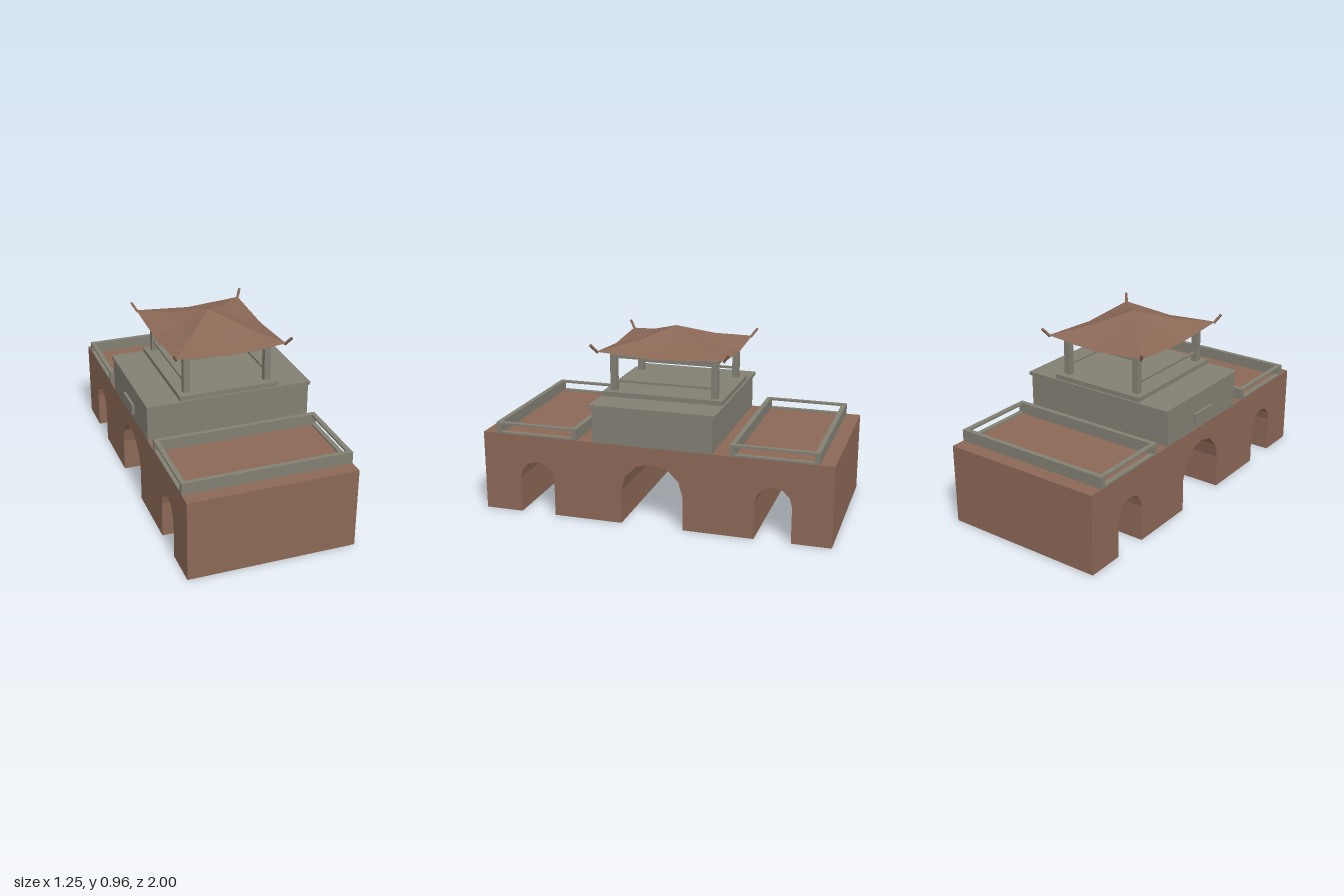
import * as THREE from 'three';

const brick = new THREE.MeshStandardMaterial({ color: 0x8b6856 });
brick.name = 'brown brick';
const stone = new THREE.MeshStandardMaterial({ color: 0x827f73 });
stone.name = 'grey stone';
const tile = new THREE.MeshStandardMaterial({ color: 0x8b6856, side: THREE.DoubleSide });
tile.name = 'brown roof';

// Box given by its centre x and z, bottom and top heights, and widths
function block(parent, name, mat, x, z, y0, y1, w, d) {
  const m = new THREE.Mesh(new THREE.BoxGeometry(w, y1 - y0, d), mat);
  m.position.set(x, (y0 + y1) / 2, z);
  m.name = name;
  parent.add(m);
  return m;
}

// Gate base pierced by three faceted arched passages
function gateBase() {
  const L = 0.9285, W = 0.875;
  const s = new THREE.Shape();
  s.moveTo(-L, 0);
  for (const [c, r, spring] of [[-0.63, 0.095, 0.19], [0, 0.165, 0.175], [0.63, 0.095, 0.19]]) {
    s.lineTo(c - r, 0);
    for (let i = 0; i <= 6; i++) {
      const a = Math.PI * (1 - i / 6);
      s.lineTo(c + r * Math.cos(a), spring + r * Math.sin(a));
    }
    s.lineTo(c + r, 0);
  }
  s.lineTo(L, 0);
  s.lineTo(L, 0.425);
  s.lineTo(-L, 0.425);
  const g = new THREE.ExtrudeGeometry(s, { depth: W, bevelEnabled: false });
  g.translate(0, 0, -W / 2).rotateY(Math.PI / 2);
  const m = new THREE.Mesh(g, brick);
  m.name = 'gateBase';
  return m;
}

// Terrace balustrade: solid ends, open rails along the passage sides
function balustrade(side) {
  const g = new THREE.Group();
  g.name = 'balustrade';
  const t = 0.025, hx = 0.4375 - t / 2, z0 = 0.405, z1 = 0.853, y = 0.425;
  const mid = (z0 + z1) / 2, len = z1 - z0 - 2 * t;
  for (const z of [z0 + t / 2, z1 - t / 2])
    block(g, 'endParapet', stone, 0, side * z, y, 0.485, 0.875, t);
  for (const x of [-hx, hx]) {
    block(g, 'topRail', stone, x, side * mid, 0.474, 0.485, t, len);
    block(g, 'bottomRail', stone, x, side * mid, y, 0.434, t, len);
  }
  return g;
}

// Curved roof: apex, half-way ring and eave ring, with lifted corners
function roofShell() {
  const HX = 0.294, HZ = 0.34, apex = [0, 0.965, 0];
  const dirs = [[1, 1], [1, 0], [1, -1], [0, -1], [-1, -1], [-1, 0], [-1, 1], [0, 1]];
  const ring = (k, corner, middle) => dirs.map(([x, z]) => [x * HX * k, x && z ? corner : middle, z * HZ * k]);
  const inner = ring(0.5, 0.903, 0.893), outer = ring(1, 0.866, 0.845);
  const p = [];
  for (let i = 0; i < 8; i++) {
    const j = (i + 1) % 8;
    p.push(...apex, ...inner[i], ...inner[j]);
    // keep the diagonal on the corner side
    if (i % 2 === 0) p.push(...inner[i], ...outer[i], ...outer[j], ...inner[i], ...outer[j], ...inner[j]);
    else p.push(...inner[i], ...outer[i], ...inner[j], ...outer[i], ...outer[j], ...inner[j]);
  }
  const g = new THREE.BufferGeometry();
  g.setAttribute('position', new THREE.Float32BufferAttribute(p, 3));
  g.computeVertexNormals();
  const m = new THREE.Mesh(g, tile);
  m.name = 'roof';
  return m;
}

// Slim upturned finial at a roof corner
function finial(sx, sz) {
  const a = new THREE.Vector3(sx * 0.288, 0.86, sz * 0.333);
  const b = new THREE.Vector3(sx * 0.314, 0.904, sz * 0.365);
  const m = new THREE.Mesh(new THREE.BoxGeometry(0.011, a.distanceTo(b), 0.011), brick);
  m.position.copy(a).lerp(b, 0.5);
  m.quaternion.setFromUnitVectors(new THREE.Vector3(0, 1, 0), b.clone().sub(a).normalize());
  m.name = 'roofFinial';
  return m;
}

export function createModel() {
  const model = new THREE.Group();
  model.name = 'gateTower';
  const body = new THREE.Group();
  body.name = 'turnedBody';
  body.rotation.y = 0.2145;
  model.add(body);

  body.add(gateBase(), balustrade(1), balustrade(-1));

  // Central stone storey with coping, plaque and pavilion step
  block(body, 'upperStorey', stone, 0, 0, 0.425, 0.607, 0.875, 0.632);
  block(body, 'coping', stone, 0, 0, 0.607, 0.625, 0.885, 0.662);
  block(body, 'plaque', stone, -0.442, 0, 0.463, 0.52, 0.018, 0.16);
  block(body, 'pavilionStep', stone, 0, 0, 0.625, 0.65, 0.532, 0.642);

  // Pavilion frame
  const px = 0.218, pz = 0.271, w = 0.034;
  for (const sx of [-1, 1]) {
    for (const sz of [-1, 1]) {
      block(body, 'pillar', stone, sx * px, sz * pz, 0.65, 0.825, w, w);
      body.add(finial(sx, sz));
    }
    block(body, 'sideRail', stone, sx * px, 0, 0.694, 0.706, 0.012, 2 * pz - w);
    block(body, 'sideBeam', stone, sx * px, 0, 0.825, 0.845, w, 2 * pz + w);
    block(body, 'endBeam', stone, 0, sx * pz, 0.825, 0.845, 2 * px - w, w);
  }

  body.add(roofShell());
  return model;
}
